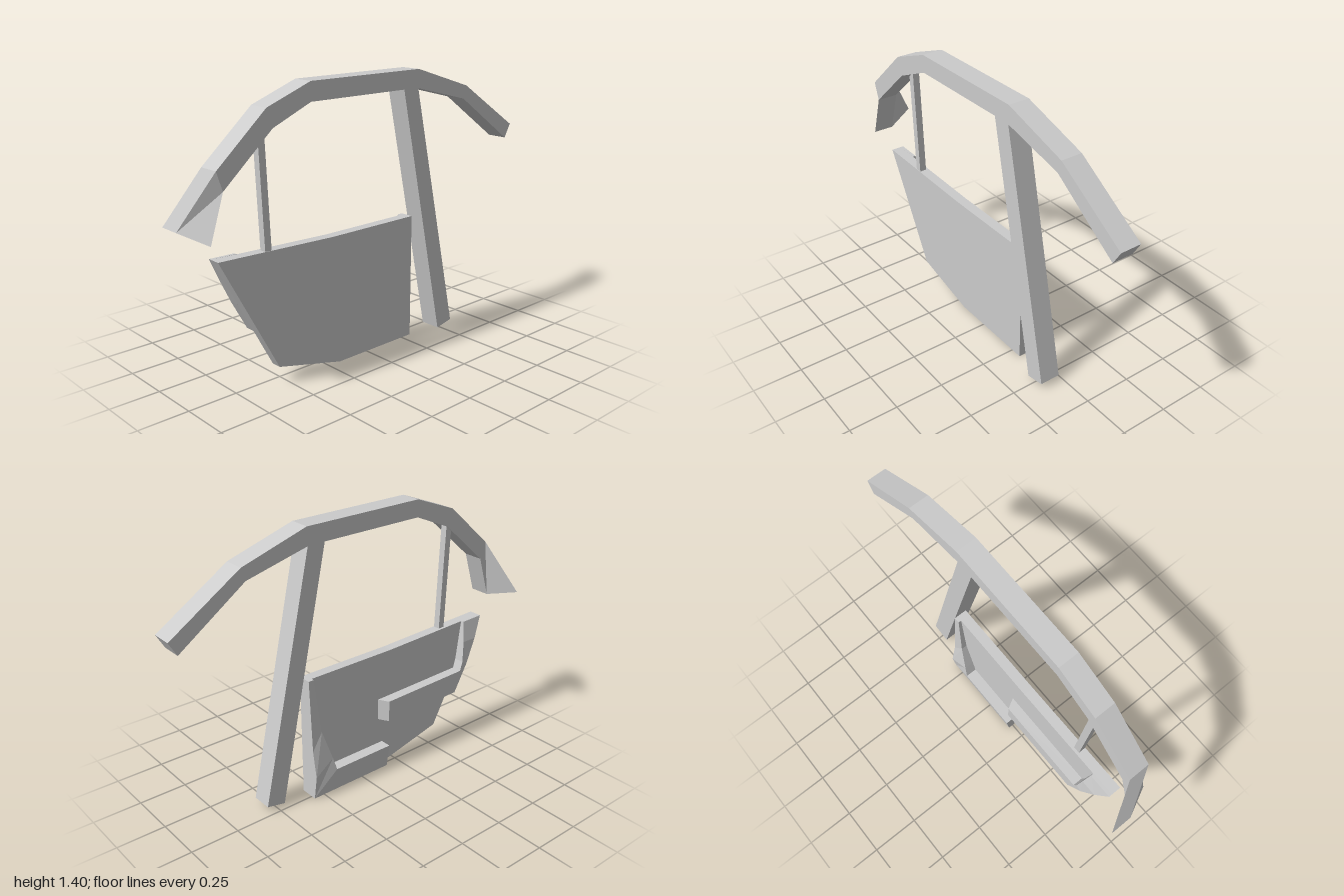
import * as THREE from 'three';

const material = new THREE.MeshStandardMaterial({ color: 0xcccccc, flatShading: true });

// Skins four-cornered sections [x, y, z] into a closed, hard-edged bar
function loft(name, sections) {
  const tris = [];
  const quad = (a, b, c, d) => tris.push([a, b, c], [a, c, d]);
  for (let i = 0; i < sections.length - 1; i++) {
    const s = sections[i], t = sections[i + 1];
    for (let j = 0; j < 4; j++) {
      const k = (j + 1) % 4;
      quad(s[j], s[k], t[k], t[j]);
    }
  }
  const [a, b, c, d] = sections[0];
  const [e, f, g, h] = sections[sections.length - 1];
  quad(d, c, b, a);
  quad(e, f, g, h);
  // Turn the faces outward if the sections run the other way
  const v = tris.map((t) => t.map((p) => new THREE.Vector3(...p)));
  const volume = v.reduce((sum, [p, q, r]) => sum + p.dot(q.clone().cross(r)), 0);
  if (volume < 0) v.forEach((t) => t.reverse());
  const geometry = new THREE.BufferGeometry().setFromPoints(v.flat());
  geometry.computeVertexNormals();
  const mesh = new THREE.Mesh(geometry, material);
  mesh.name = name;
  return mesh;
}

// Bar of constant width in x; each station is [outer z, outer y, inner z, inner y]
function bar(name, x0, x1, stations) {
  return loft(name, stations.map(([oz, oy, iz, iy]) =>
    [[x0, oy, oz], [x1, oy, oz], [x1, iy, iz], [x0, iy, iz]]));
}

// Raised trim on the inner door face; each station is two edges [z, y, x of raised face]
function trim(name, stations) {
  const base = 0.016;
  return loft(name, stations.map(([[oz, oy, ox], [iz, iy, ix, backZ = iz]]) =>
    [[base, oy, backZ === iz ? oz : backZ], [ox, oy, oz], [ix, iy, iz], [base, iy, backZ]]));
}

export function createModel() {
  const group = new THREE.Group();
  group.name = 'doorAndFrame';

  // Roof rail, flaring inward at the foot of the windscreen
  const rail = [
    [0.89, 1.08, 0.86, 0.99], [0.63, 1.31, 0.60, 1.22], [0.39, 1.40, 0.39, 1.31],
    [-0.28, 1.40, -0.27, 1.31], [-0.63, 1.29, -0.61, 1.225], [-1.00, 1.05, -0.96, 0.98],
  ].map(([oz, oy, iz, iy]) => [[0.023, oy, oz], [0.13, oy, oz], [0.13, iy, iz], [0.023, iy, iz]]);
  rail.unshift([[-0.13, 0.81, 1], [-0.02, 0.81, 1], [0.13, 0.77, 0.93], [0.023, 0.77, 0.93]]);
  group.add(loft('roofRail', rail));

  // Leaning pillar behind the door and thin window divider
  group.add(bar('pillar', 0.023, 0.13, [[-0.18, 1.32, -0.275, 1.32], [-0.46, 0.015, -0.56, 0.035]]));
  group.add(bar('windowDivider', 0.03, 0.066, [[0.635, 1.22, 0.60, 1.23], [0.61, 0.65, 0.575, 0.65]]));

  // Door panel, drawn in (-z, y) and extruded along x
  const outline = [[0.86, 0.67], [0.55, 0.09], [0.18, 0], [-0.31, 0], [-0.31, 0.65], [0.22, 0.65]];
  const shape = new THREE.Shape(outline.map(([z, y]) => new THREE.Vector2(-z, y)));
  const panel = new THREE.ExtrudeGeometry(shape, { depth: 0.053, bevelEnabled: false });
  panel.rotateY(Math.PI / 2).translate(0.016, 0, 0);
  const door = new THREE.Mesh(panel, material);
  door.name = 'doorPanel';
  group.add(door);

  // Armrest running forward, then up the front edge of the door
  group.add(trim('armrest', [
    [[0.17, 0.275, -0.038], [0.17, 0.39, -0.038, 0.14]],
    [[0.65, 0.28, -0.038], [0.685, 0.40, -0.038]],
    [[0.732, 0.43, -0.038], [0.70, 0.45, -0.038]],
    [[0.80, 0.56, -0.025], [0.715, 0.56, -0.025]],
    [[0.86, 0.67, 0], [0.73, 0.667, 0]],
  ]));

  // Storage pocket along the bottom, rising up the rear edge
  group.add(trim('doorPocket', [
    [[0.17, 0, -0.025], [0.17, 0.13, -0.044]],
    [[-0.31, 0, -0.025], [-0.18, 0.13, -0.044]],
    [[-0.31, 0.13, -0.044], [-0.20, 0.20, -0.036]],
    [[-0.31, 0.27, -0.02], [-0.25, 0.36, -0.015]],
    [[-0.31, 0.65, 0], [-0.28, 0.65, 0]],
  ]));

  return group;
}
